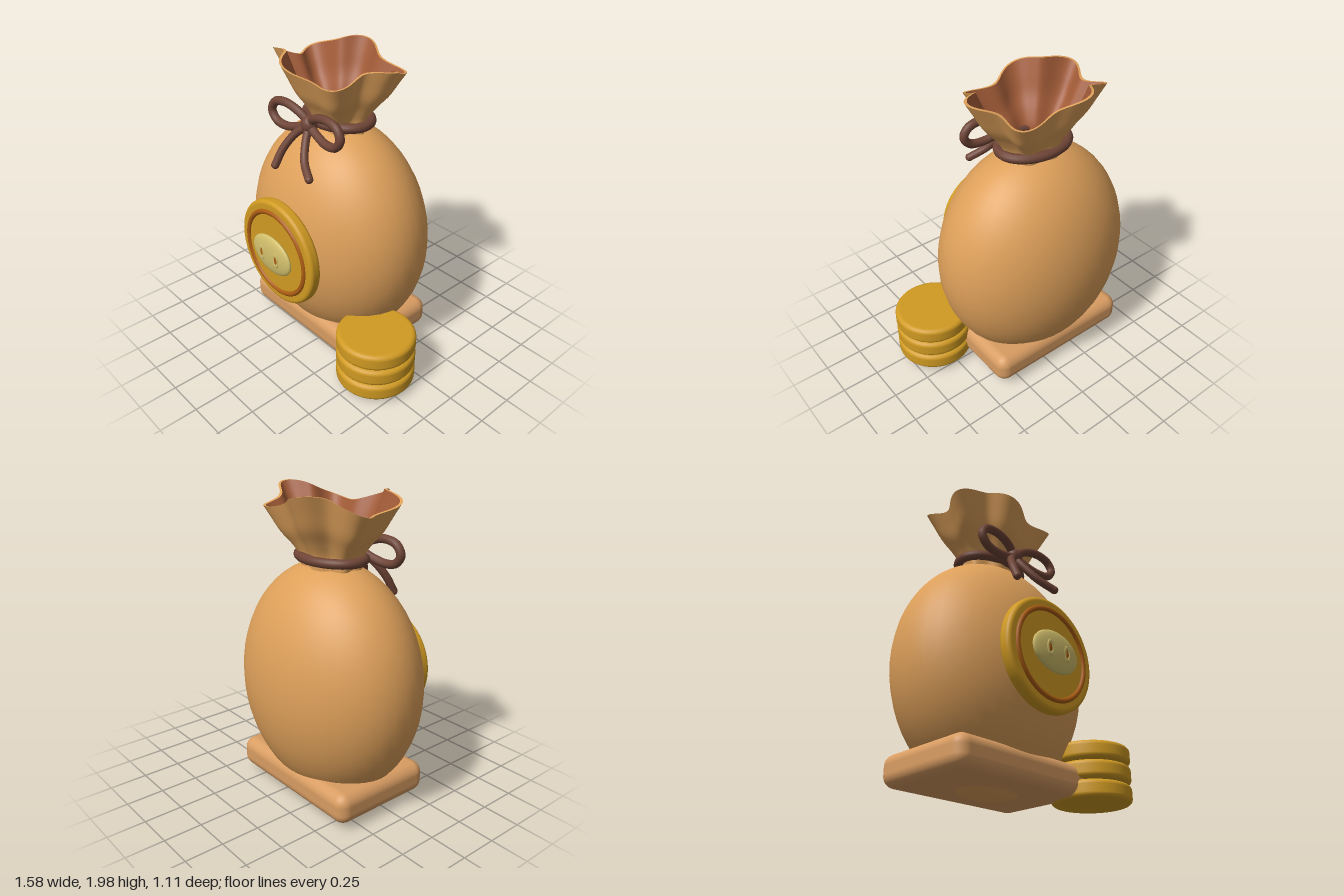
import * as THREE from 'three';
import { RoundedBoxGeometry } from 'three/addons/geometries/RoundedBoxGeometry.js';

const CX = -0.115, CZ = -0.05, DEPTH = 0.74; // sack axis and its depth-to-width ratio

const material = (name, color) => {
  const m = new THREE.MeshStandardMaterial({ color });
  m.name = name;
  return m;
};

// Closed band through rows of points; point(angle, row) returns [x, y, z]
function band(rows, point, cols = 140) {
  const pos = [], idx = [];
  for (let j = 0; j < rows; j++)
    for (let i = 0; i < cols; i++) pos.push(...point((i / cols) * Math.PI * 2, j));
  for (let j = 0; j < rows - 1; j++)
    for (let i = 0; i < cols; i++) {
      const n = (i + 1) % cols;
      const a = j * cols + i, b = j * cols + n, c = a + cols, d = b + cols;
      idx.push(a, c, b, b, c, d);
    }
  const g = new THREE.BufferGeometry();
  g.setAttribute('position', new THREE.Float32BufferAttribute(pos, 3));
  g.setIndex(idx);
  g.computeVertexNormals();
  return g;
}

// Disc with rounded edges, axis along y
function coinGeometry(r, height, bevel) {
  const h = height / 2, pts = [new THREE.Vector2(0, -h), new THREE.Vector2(r - bevel - 0.004, -h)];
  for (const s of [-1, 1])
    for (let k = 0; k <= 6; k++) {
      const a = (s < 0 ? -90 + k * 15 : k * 15) * Math.PI / 180;
      pts.push(new THREE.Vector2(r - bevel + bevel * Math.cos(a), s * (h - bevel) + bevel * Math.sin(a)));
    }
  pts.push(new THREE.Vector2(r - bevel - 0.004, h), new THREE.Vector2(0, h));
  return new THREE.LatheGeometry(pts, 64);
}

export function createModel() {
  const group = new THREE.Group();
  const cloth = material('tan cloth', 0xdea05a);
  const pad = material('base tan', 0xd89c62);
  const lining = material('rust lining', 0xa35c38);
  const cord = material('brown cord', 0x6e4436);
  const gold = material('gold', 0xd09a22);
  const bronze = material('bronze', 0xab5c12);
  const pale = material('pale gold', 0xd2bf6c);

  const add = (name, geometry, mat, x = 0, y = 0, z = 0, parent = group) => {
    const mesh = new THREE.Mesh(geometry, mat);
    mesh.name = name;
    mesh.position.set(x, y, z);
    parent.add(mesh);
    return mesh;
  };
  const ball = (name, mat, x, y, z, rx, ry, rz) => {
    const mesh = add(name, new THREE.SphereGeometry(1, 40, 28), mat, x, y, z);
    mesh.scale.set(rx, ry, rz);
    return mesh;
  };
  const rope = (name, points, r) => {
    const curve = new THREE.CatmullRomCurve3(points.map(p => new THREE.Vector3(...p)));
    add(name, new THREE.TubeGeometry(curve, 48, r, 12), cord);
  };

  // Sack body and the base under it
  ball('sackBody', cloth, CX, 0.785, CZ, 0.675, 0.775, 0.5);
  add('base', new RoundedBoxGeometry(1.06, 0.205, 0.72, 6, 0.075), pad, CX, 0.152, CZ);

  // Gathered collar: seven folds, flaring to a wavy rim
  const radii = new THREE.SplineCurve([
    [0.205, 0], [0.212, 0.17], [0.262, 0.36], [0.335, 0.57], [0.39, 0.8], [0.437, 1],
  ].map(p => new THREE.Vector2(...p)));
  const ROWS = 25;
  const collarPoint = (a, t, inset) => {
    const p = radii.getPoint(t);
    const r = p.x * (1 + (0.075 + 0.035 * p.y) * Math.cos(7 * a)) - inset;
    const top = 1.935 + 0.055 * Math.cos(3 * a - 0.4);
    return [CX + r * Math.cos(a), 1.525 + p.y * (top - 1.525), CZ + r * DEPTH * Math.sin(a)];
  };
  add('collarOutside', band(ROWS, (a, j) => collarPoint(a, j / (ROWS - 1), 0)), cloth);
  add('collarInside', band(ROWS, (a, j) => collarPoint(a, 1 - j / (ROWS - 1), 0.02)), lining);
  add('collarRim', band(2, (a, j) => collarPoint(a, 1, j * 0.02)), cloth);

  // Cord around the neck
  const loop = new THREE.EllipseCurve(0, 0, 0.24, 0.17).getPoints(24).slice(0, -1)
    .map(p => new THREE.Vector3(p.x, 0, p.y));
  add('neckCord', new THREE.TubeGeometry(new THREE.CatmullRomCurve3(loop, true), 96, 0.031, 12, true),
    cord, CX, 1.582, CZ);

  // Bow: knot, two mirrored loops and two tails
  ball('bowKnot', cord, CX, 1.59, 0.19, 0.056, 0.056, 0.05);
  for (const s of [-1, 1])
    rope(s < 0 ? 'rightBowLoop' : 'leftBowLoop', [
      [0, 1.6, 0.185], [0.08, 1.655, 0.205], [0.19, 1.682, 0.215], [0.29, 1.66, 0.22], [0.322, 1.6, 0.225],
      [0.28, 1.543, 0.225], [0.19, 1.528, 0.22], [0.09, 1.55, 0.205], [0, 1.585, 0.19],
    ].map(([x, y, z]) => [CX + s * x, y, z]), 0.028);
  const tails = {
    rightBowTail: [[CX, 1.58, 0.19], [-0.19, 1.52, 0.235], [-0.24, 1.42, 0.3], [-0.258, 1.315, 0.355]],
    leftBowTail: [[CX, 1.58, 0.19], [-0.085, 1.5, 0.245], [-0.02, 1.405, 0.31], [0.08, 1.347, 0.36]],
  };
  for (const [name, points] of Object.entries(tails)) {
    rope(name, points, 0.026);
    ball(name + 'End', cord, ...points[3], 0.026, 0.026, 0.026);
  }

  // Medallion with a raised ring and an oval boss with two slots
  const EY = 0.785;
  add('medallion', coinGeometry(0.36, 0.08, 0.025), gold, CX, EY, 0.455).rotation.x = Math.PI / 2;
  add('medallionRing', new THREE.TorusGeometry(0.285, 0.018, 10, 72), bronze, CX, EY, 0.491);
  ball('oval', pale, CX, EY, 0.522, 0.19, 0.133, 0.033);
  for (const s of [-1, 1]) {
    const x = CX + s * 0.071;
    add('slotRim', new THREE.TorusGeometry(0.021, 0.008, 10, 32), pale, x, EY, 0.55).scale.set(1, 1.9, 0.6);
    ball('slot', bronze, x, EY, 0.549, 0.016, 0.034, 0.005);
  }

  // Stack of three coins
  for (let i = 0; i < 3; i++)
    add('stackCoin', coinGeometry(0.255, 0.112, 0.03), gold, 0.535, 0.096 + i * 0.122, 0.218);

  return group;
}
